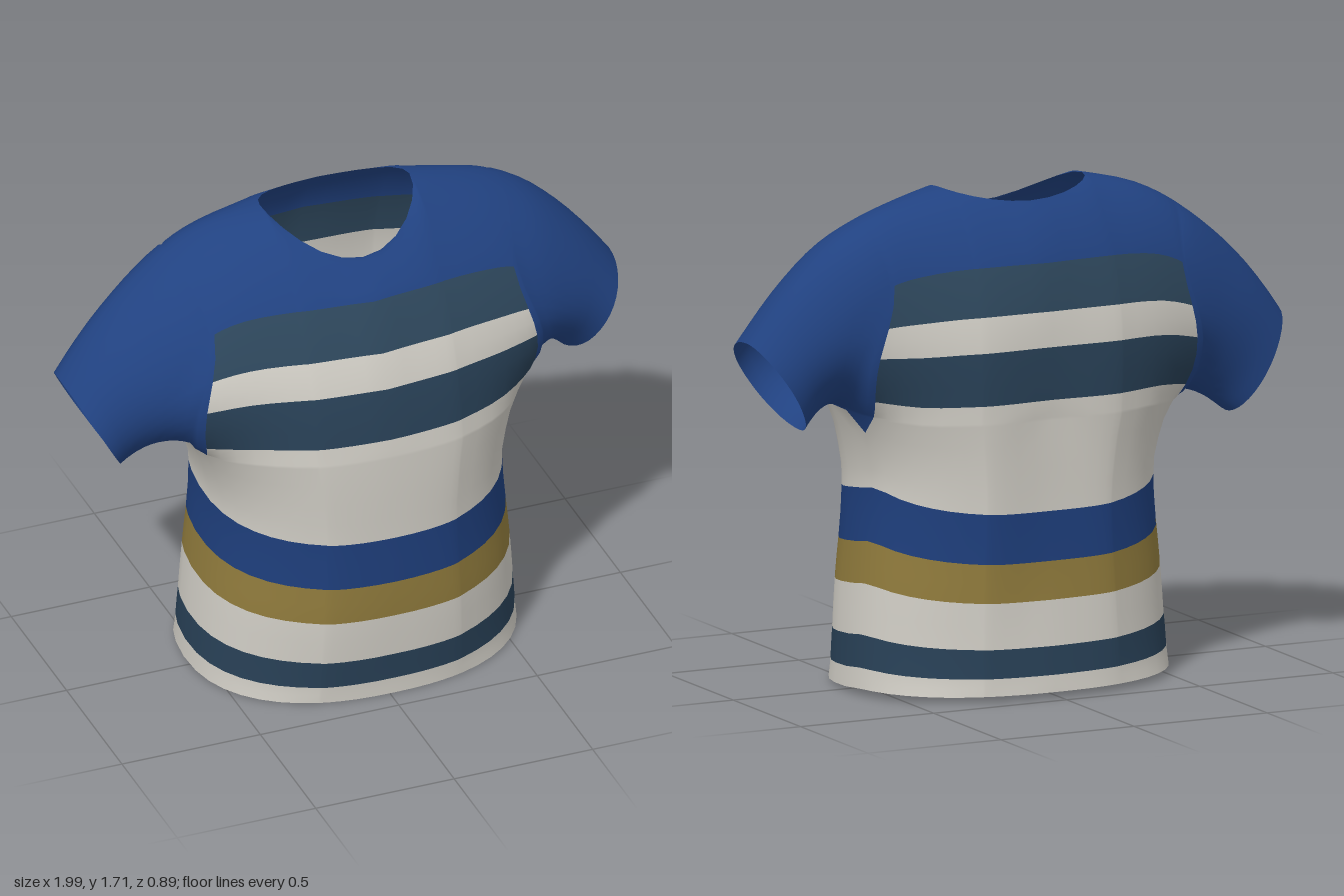
import * as THREE from 'three';
import { mergeVertices } from 'three/addons/utils/BufferGeometryUtils.js';

const { lerp, smoothstep, clamp } = THREE.MathUtils;

// Piecewise linear lookup in a short list of [key, value] pairs
function lookup(list, k) {
  for (let i = 1; i < list.length; i++) {
    const [k0, v0] = list[i - 1], [k1, v1] = list[i];
    if (k <= k1) return lerp(v0, v1, Math.max(0, (k - k0) / (k1 - k0)));
  }
  return list[list.length - 1][1];
}

const ARMPIT = 0.95, SIDE_Z = -0.03, SEAM_Z = -0.14, NECK = 0.45, EDGE = 0.96;
const halfWidth = [[0, 0.58], [0.2, 0.565], [0.4, 0.545], [0.6, 0.525], [0.7, 0.527], [0.85, 0.555], [ARMPIT, 0.59]];
const frontDepth = [[0, 0.42], [0.3, 0.45], [0.6, 0.437], [0.85, 0.452], [ARMPIT, 0.44]];
const backDepth = [[0, -0.455], [0.3, -0.44], [0.6, -0.43], [ARMPIT, -0.435]];
const sideLift = [[0, 0.02], [0.1, 0.04], [0.4, 0.07], [0.63, 0.08], [ARMPIT, 0]];

// Cloth heights: hem to armpit, then armpit to the top of the chest stripes
const torsoRows = [0, 0.03, 0.06, 0.11, 0.16, 0.24, 0.32, 0.39, 0.455, 0.54, 0.63, 0.71, 0.79, 0.87];
const chestRows = [ARMPIT, 0.96, 0.985, 1.02, 1.08, 1.14, 1.2, 1.26, 1.32, 1.4, 1.48];
const rows = [...torsoRows, ...chestRows];
const J0 = torsoRows.length, SHOULDER_STEPS = 8;
const ROWS = rows.length + SHOULDER_STEPS;

// Columns from the middle outwards: X across the body, c along the sleeve
const half = [];
for (let k = 1; k <= 6; k++) half.push({ X: NECK * Math.sin(k / 6 * Math.PI / 2), c: 0 });
for (let k = 1; k <= 8; k++) half.push({ X: NECK + (1 - NECK) * Math.sin(k / 8 * Math.PI / 2), c: 0 });
for (let k = 1; k <= 9; k++) half.push({ X: 1, c: k / 9 });
const columns = [
  ...half.map(h => ({ ...h, sign: -1 })).reverse(),
  { X: 0, c: 0, sign: 1 },
  ...half.map(h => ({ ...h, sign: 1 })),
];

const round = X => Math.pow(Math.max(0, 1 - Math.pow(X, 2.35)), 1 / 2.35);

// Torso below the armpits: stacked rounded sections, cloth rising to the side seams
function torsoPoint(X, s, front) {
  const Z = round(X), zFront = lookup(frontDepth, s), zBack = lookup(backDepth, s);
  const z = SIDE_Z + ((front ? zFront : zBack) - SIDE_Z) * Z;
  const rise = z > SEAM_Z ? (zFront - z) / (zFront - SEAM_Z) : (z - zBack) / (SEAM_Z - zBack);
  const lift = lookup(sideLift, s) * rise + (front ? 0 : 0.02 * Z * (1 - s / ARMPIT));
  return [X * lookup(halfWidth, s), 0.01 + s * (1 - 0.01 / ARMPIT) + lift, z];
}

// Ridge from the neck along the shoulder and down the sleeve
function ridge(X, c) {
  const x = X * 0.6 + 0.395 * c, n = Math.min(1, X / NECK), f = Math.max(0, (x - 0.27) / 0.725);
  const y = 1.715 + 0.02 * (1 - n * n) - 0.12 * f - 0.375 * Math.pow(f, 2.5);
  return [x, y, -0.08 - 0.04 * smoothstep(X, NECK, 1) + 0.03 * c];
}

// Upper end of a body column: the neckline in the middle, the ridge elsewhere
function upperEnd(X, front) {
  const n = X / NECK;
  if (n > 0.9999) return ridge(X, 0)[1];
  return front ? 1.595 + 0.12 * n * n : 1.672 + 0.043 * n * n;
}

// Chest, shoulders and sleeves: bowed arcs from the armpit level to the ridge
function upperPoint(X, c, j, front) {
  const top = ridge(X, c), low = torsoPoint(X, ARMPIT, front);
  low[0] += 0.21 * c;
  low[1] += 0.03 * Math.sin(Math.PI * c) - 0.055 * c * c;
  low[2] -= 0.07 * c;
  const height = s => s - 0.06 * Math.pow(X, 4) * (s - ARMPIT) / 0.53;
  let y;
  if (j < rows.length) y = height(rows[j]);
  else {
    const f = (j - rows.length + 1) / SHOULDER_STEPS;
    y = lerp(height(1.48), upperEnd(X, front), 1 - (1 - f) * (1 - f));
  }
  const tBody = (y - ARMPIT) / (ridge(X, 0)[1] - ARMPIT);
  const tSleeve = (1 - Math.cos(Math.PI * (j - J0) / (ROWS - 1 - J0))) / 2;
  const t = clamp(lerp(tBody, tSleeve, Math.min(1, 2 * c)), 0, 1);
  const x0 = X * 0.6;
  const mid = front ? lerp(0.345 - 0.27 * x0 * x0, 0.125, c) : lerp(-0.405 + 0.27 * x0 * x0, -0.235, c);
  const shape = Math.pow(2 * t, 1 - 0.5 * Math.pow(X, 8)) * Math.pow(2 * (1 - t), front ? 0.5 : 0.4 + 0.1 * X);
  const bow = (mid - (low[2] + top[2]) / 2) * shape;
  const sway = 0.04 * Math.pow(X, 5) * (1 - c) * Math.sin(2 * Math.PI * t);
  return [lerp(low[0], top[0], t) + sway, lerp(low[1], top[1], t), lerp(low[2], top[2], t) + bow];
}

function clothPoint({ X, c, sign }, j, front) {
  let [x, y, z] = j < J0 ? torsoPoint(X, rows[j], front) : upperPoint(X, c, j, front);
  // groove down the spine
  if (!front) z += 0.05 * Math.exp(-((x / 0.09) ** 2)) * smoothstep(y, 0.05, 0.5) * (1 - smoothstep(y, 1.1, 1.5));
  // slight natural lean of the garment
  y += sign * 0.042 * smoothstep(x, 0.4, 0.75) * smoothstep(y, 0.6, 0.95) * (1 - 0.4 * smoothstep(y, 1, 1.25));
  x = sign * x + 0.015 * (1 - smoothstep(y, 0.5, 1.4)) * (1 - c);
  return [x, y, z];
}

// Bands of cloth: upper limit, part name, colour
const bands = [
  [0.06, 'hemTrim', 'white'], [0.16, 'hemStripe', 'navy'], [0.32, 'lowerBand', 'white'],
  [0.455, 'goldStripe', 'gold'], [0.63, 'waistStripe', 'deepBlue'], [1.02, 'bellyBand', 'white'],
  [1.2, 'chestStripe', 'navy'], [1.32, 'chestBand', 'white'], [1.48, 'upperChestStripe', 'slate'],
  [9, 'shoulderYoke', 'blue'],
];

// Parts of the two triangles in one cell
function partsAt(a, b, j, front) {
  const X = (a.X + b.X) / 2;
  const sleeve = [(a.sign + b.sign > 0) ? 'leftSleeve' : 'rightSleeve', 'blue'];
  const onSleeve = Math.max(a.c, b.c) > 0 || (j >= J0 && j < rows.length - 1 && X > EDGE);
  if (onSleeve) return [sleeve, sleeve];
  const s = j < rows.length - 1 ? (rows[j] + rows[j + 1]) / 2 : 2;
  const band = bands.find(([limit]) => s < limit).slice(1);
  // pointed gusset below the armpit, behind the side
  if (!front && j === J0 - 1 && X > EDGE) return [band, ['underarmGusset', 'blue']];
  return [band, band];
}

// Even out z over the skin, leaving the open edges in place
function relax(geometry, passes) {
  const pos = geometry.attributes.position, idx = geometry.index, edges = new Map();
  for (let f = 0; f < idx.count; f += 3)
    for (let k = 0; k < 3; k++) {
      const p = idx.getX(f + k), q = idx.getX(f + (k + 1) % 3);
      const key = Math.min(p, q) + '_' + Math.max(p, q);
      const edge = edges.get(key) ?? { p, q, uses: 0 };
      edge.uses++;
      edges.set(key, edge);
    }
  const fixed = new Set(), a = new THREE.Vector3(), b = new THREE.Vector3();
  for (const e of edges.values()) {
    if (e.uses === 1) fixed.add(e.p).add(e.q);
    a.fromBufferAttribute(pos, e.p);
    b.fromBufferAttribute(pos, e.q);
    e.weight = 1 / Math.max(0.005, a.distanceTo(b));
  }
  for (let n = 0; n < passes; n++) {
    const sum = new Float32Array(pos.count), total = new Float32Array(pos.count);
    for (const { p, q, weight } of edges.values()) {
      sum[p] += weight * pos.getZ(q); total[p] += weight;
      sum[q] += weight * pos.getZ(p); total[q] += weight;
    }
    for (let i = 0; i < pos.count; i++)
      if (!fixed.has(i)) pos.setZ(i, lerp(pos.getZ(i), sum[i] / total[i], 0.5));
  }
}

export function createModel() {
  const make = (name, color) => new THREE.MeshStandardMaterial({ name, color, side: THREE.DoubleSide });
  const materials = {
    blue: make('blue', 0x214281), deepBlue: make('deepBlue', 0x1e3e7b),
    navy: make('navy', 0x284056), slate: make('slate', 0x2d465b),
    gold: make('gold', 0x8f7a3c), white: make('white', 0xcfccc4),
  };

  // One continuous skin of front and back sheets
  const positions = [], index = [], faceParts = [];
  for (const front of [true, false]) {
    const base = positions.length / 3;
    for (const col of columns)
      for (let j = 0; j < ROWS; j++) positions.push(...clothPoint(col, j, front));
    for (let i = 0; i < columns.length - 1; i++) {
      const colA = columns[i], colB = columns[i + 1];
      const start = Math.max(colA.c, colB.c) > 0 ? J0 : 0;
      const flip = !front && colA.X + colB.X > 1.96;
      for (let j = start; j < ROWS - 1; j++) {
        const a = base + i * ROWS + j, b = a + ROWS;
        // diagonals mirror about the middle
        const cell = (colA.sign > 0) !== flip
          ? [[a, b, a + 1], [b, b + 1, a + 1]]
          : [[a, b, b + 1], [a, b + 1, a + 1]];
        for (const [p, q, r] of cell) index.push(...(front ? [p, q, r] : [p, r, q]));
        faceParts.push(...partsAt(colA, colB, j, front));
      }
    }
  }
  let skin = new THREE.BufferGeometry();
  skin.setAttribute('position', new THREE.Float32BufferAttribute(positions, 3));
  skin.setIndex(index);
  skin = mergeVertices(skin, 1e-4);
  relax(skin, 10);
  skin.computeVertexNormals();

  // Cut the skin into its coloured parts, keeping the shared smooth normals
  const parts = new Map();
  faceParts.forEach(([name, colour], f) => {
    if (!parts.has(name)) parts.set(name, { colour, faces: [] });
    for (let k = 0; k < 3; k++) parts.get(name).faces.push(skin.index.getX(f * 3 + k));
  });
  const shirt = new THREE.Group();
  shirt.name = 'stripedShirt';
  for (const [name, { colour, faces }] of parts) {
    let geometry = new THREE.BufferGeometry();
    geometry.setAttribute('position', skin.attributes.position);
    geometry.setAttribute('normal', skin.attributes.normal);
    geometry.setIndex(faces);
    geometry = mergeVertices(geometry.toNonIndexed());
    const mesh = new THREE.Mesh(geometry, materials[colour]);
    mesh.name = name;
    shirt.add(mesh);
  }
  return shirt;
}
